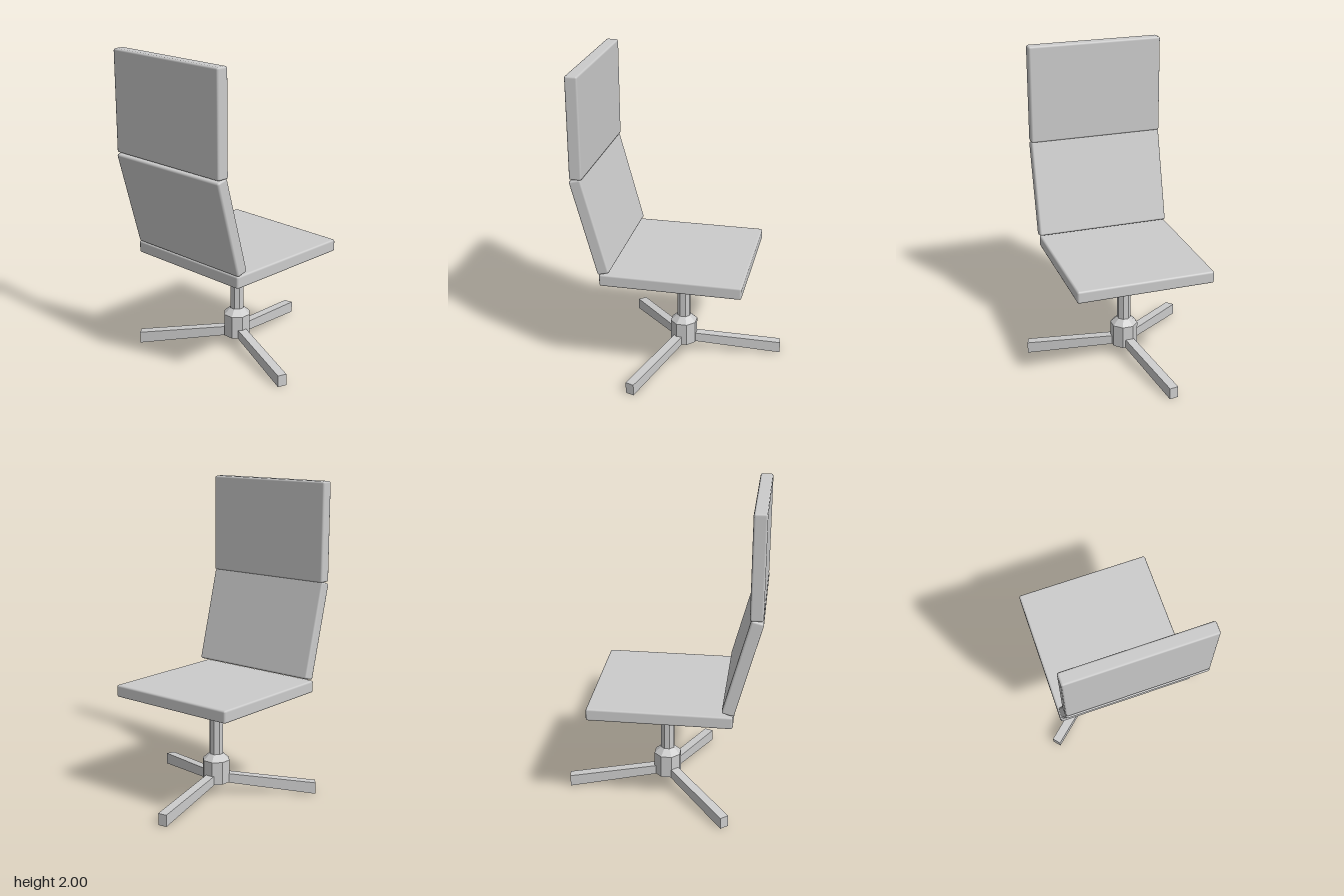
import * as THREE from 'three';
import { RoundedBoxGeometry } from 'three/addons/geometries/RoundedBoxGeometry.js';

const grey = new THREE.MeshStandardMaterial({ color: 0xcccccc });
const facetedGrey = new THREE.MeshStandardMaterial({ color: 0xcccccc, flatShading: true });

// Flat cushion panel with slim chamfered edges
function panel(name, size, position, tilt = 0) {
  const mesh = new THREE.Mesh(new RoundedBoxGeometry(...size, 1, 0.013), grey);
  mesh.name = name;
  mesh.position.set(...position);
  mesh.rotation.x = tilt;
  return mesh;
}

export function createModel() {
  const chair = new THREE.Group();
  chair.name = 'swivelChair';

  // Seat and two-part backrest
  chair.add(
    panel('seat', [0.89, 0.08, 0.895], [-0.047, 0.7, 0.013]),
    panel('lowerBackrest', [0.89, 0.63, 0.078], [-0.037, 1.054, 0.507], THREE.MathUtils.degToRad(14.8)),
    panel('upperBackrest', [0.89, 0.64, 0.08], [-0.037, 1.68, 0.58]),
  );

  // Base shares one vertical axis
  const base = new THREE.Group();
  base.name = 'base';
  base.position.set(-0.05, 0, 0.015);
  chair.add(base);

  // Octagonal column, thick at hub and under the seat
  const profile = [[0, 0.08], [0.09, 0.08], [0.09, 0.23], [0.045, 0.27], [0.045, 0.575],
    [0.09, 0.62], [0.09, 0.665], [0, 0.665]].map(([r, y]) => new THREE.Vector2(r, y));
  const column = new THREE.Mesh(new THREE.LatheGeometry(profile, 8, Math.PI / 8), facetedGrey);
  column.name = 'column';
  base.add(column);

  // Three sloping feet with upright ends
  const side = new THREE.Shape([[0.05, 0.08], [0.645, 0], [0.645, 0.075], [0.05, 0.14]]
    .map(([r, y]) => new THREE.Vector2(r, y)));
  const footGeometry = new THREE.ExtrudeGeometry(side, { depth: 0.058, bevelEnabled: false });
  footGeometry.translate(0, 0, -0.029);
  for (const degrees of [20, 140, 260]) {
    const foot = new THREE.Mesh(footGeometry, facetedGrey);
    foot.name = 'foot';
    foot.rotation.y = -THREE.MathUtils.degToRad(degrees);
    base.add(foot);
  }

  return chair;
}
